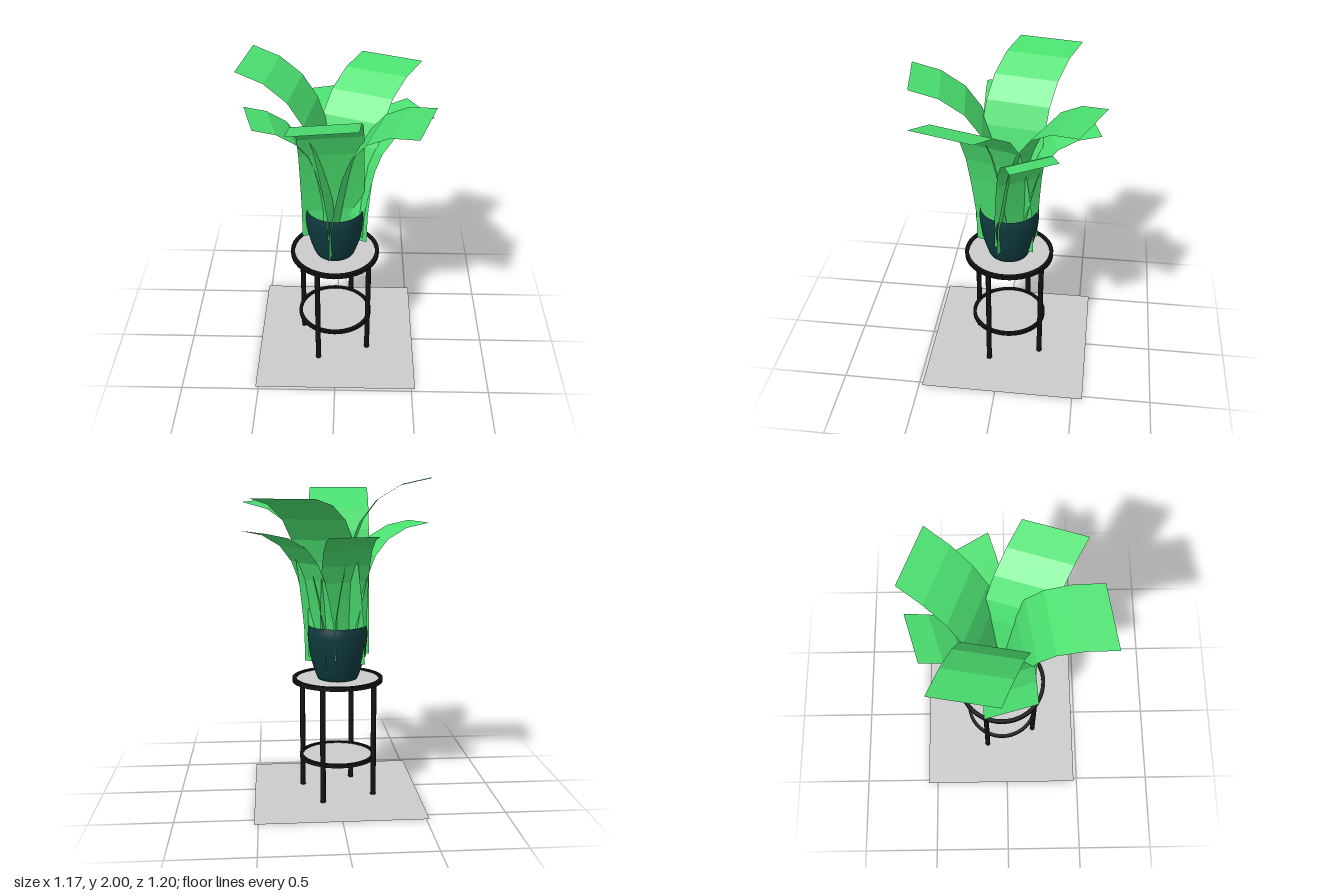
import * as THREE from 'three';

const grey = new THREE.MeshStandardMaterial({ color: 0xcccccc, side: THREE.DoubleSide });
const black = new THREE.MeshStandardMaterial({ color: 0x111111 });
const teal = new THREE.MeshStandardMaterial({ color: 0x0f3a3f, side: THREE.DoubleSide });
const green = new THREE.MeshStandardMaterial({ color: 0x4be070, side: THREE.DoubleSide, flatShading: true });

function add(parent, name, geometry, material, x = 0, y = 0, z = 0) {
  const mesh = new THREE.Mesh(geometry, material);
  mesh.name = name;
  mesh.position.set(x, y, z);
  parent.add(mesh);
  return mesh;
}

const lathe = (points, sides) =>
  new THREE.LatheGeometry(points.map(([r, y]) => new THREE.Vector2(r, y)), sides);

// Hoop with a square section
const hoop = (inner, outer, y0, y1) => {
  const g = lathe([[inner, y0], [outer, y0], [outer, y1], [inner, y1], [inner, y0]], 48).toNonIndexed();
  g.computeVertexNormals();
  return g;
};

const disc = (r) => new THREE.CircleGeometry(r, 48).rotateX(-Math.PI / 2);

// Outward reach and height along a full-size leaf, from root to tip
const leafProfile = [
  [0, 0], [0.005, 0.19], [0.03, 0.34], [0.06, 0.49], [0.095, 0.64],
  [0.15, 0.78], [0.25, 0.91], [0.4, 1.0], [0.58, 1.04],
];
const SKEW = THREE.MathUtils.degToRad(12.5);

// Strip of constant width, arching outward and leaning a little sideways.
// The angle runs from +x towards +z and is square to the tip edge.
function leafGeometry(width, scale, degrees) {
  const a = THREE.MathUtils.degToRad(degrees);
  const g = new THREE.PlaneGeometry(width, 1, 1, leafProfile.length - 1);
  const p = g.attributes.position;
  for (let i = 0; i < p.count; i++) {
    const [reach, height] = leafProfile[leafProfile.length - 1 - Math.floor(i / 2)];
    const side = p.getX(i);
    p.setXYZ(i,
      reach * scale * Math.cos(a + SKEW) - side * Math.sin(a),
      height * scale,
      reach * scale * Math.sin(a + SKEW) + side * Math.cos(a));
  }
  g.computeVertexNormals();
  return g;
}

export function createModel() {
  const model = new THREE.Group();
  model.name = 'pottedPlantOnStand';

  // Floor sheet
  add(model, 'floorSheet', new THREE.PlaneGeometry(1.045, 1.045).rotateX(-Math.PI / 2), grey, 0.002, 0, -0.043);

  // Stand: two rimmed shelves on four legs
  const stand = new THREE.Group();
  stand.name = 'stand';
  stand.position.set(-0.01, 0, -0.03);
  model.add(stand);
  add(stand, 'topRim', hoop(0.262, 0.287, 0.729, 0.755), black);
  add(stand, 'topShelf', disc(0.265), grey, 0, 0.745, 0);
  add(stand, 'lowerRim', hoop(0.222, 0.244, 0.227, 0.25), black);
  add(stand, 'lowerShelf', disc(0.225), grey, 0, 0.24, 0);
  for (let i = 0; i < 4; i++) {
    const a = 0.456 + i * Math.PI / 2;
    add(stand, 'leg', new THREE.CylinderGeometry(0.017, 0.017, 0.74, 16), black,
      0.245 * Math.cos(a), 0.37, 0.245 * Math.sin(a));
  }

  // Pot, open at the top
  add(model, 'pot', lathe([
    [0, 0.748], [0.125, 0.748], [0.137, 0.775], [0.158, 0.84], [0.173, 0.9],
    [0.184, 0.97], [0.189, 1.03], [0.187, 1.06], [0.181, 1.09],
  ], 40), teal, -0.01, 0, -0.03);

  // Leaves: width, scale, angle, root x, y, z
  const plant = new THREE.Group();
  plant.name = 'plant';
  model.add(plant);
  const leaves = [
    [0.395, 1, 17.5, 0.015, 0.81, -0.005],
    [0.395, 1, 81.7, -0.02, 0.89, -0.012],
    [0.395, 1, 190, -0.015, 0.96, -0.005],
    [0.395, 1, -68.3, 0.01, 0.85, -0.05],
    [0.3, 0.76, -31.3, 0.09, 0.895, -0.085],
    [0.31, 0.76, -106.3, -0.04, 0.885, -0.094],
    [0.305, 0.76, 164.9, -0.08, 0.94, 0],
  ];
  for (const [width, scale, angle, x, y, z] of leaves) {
    add(plant, scale === 1 ? 'largeLeaf' : 'smallLeaf', leafGeometry(width, scale, angle), green, x, y, z);
  }

  return model;
}
